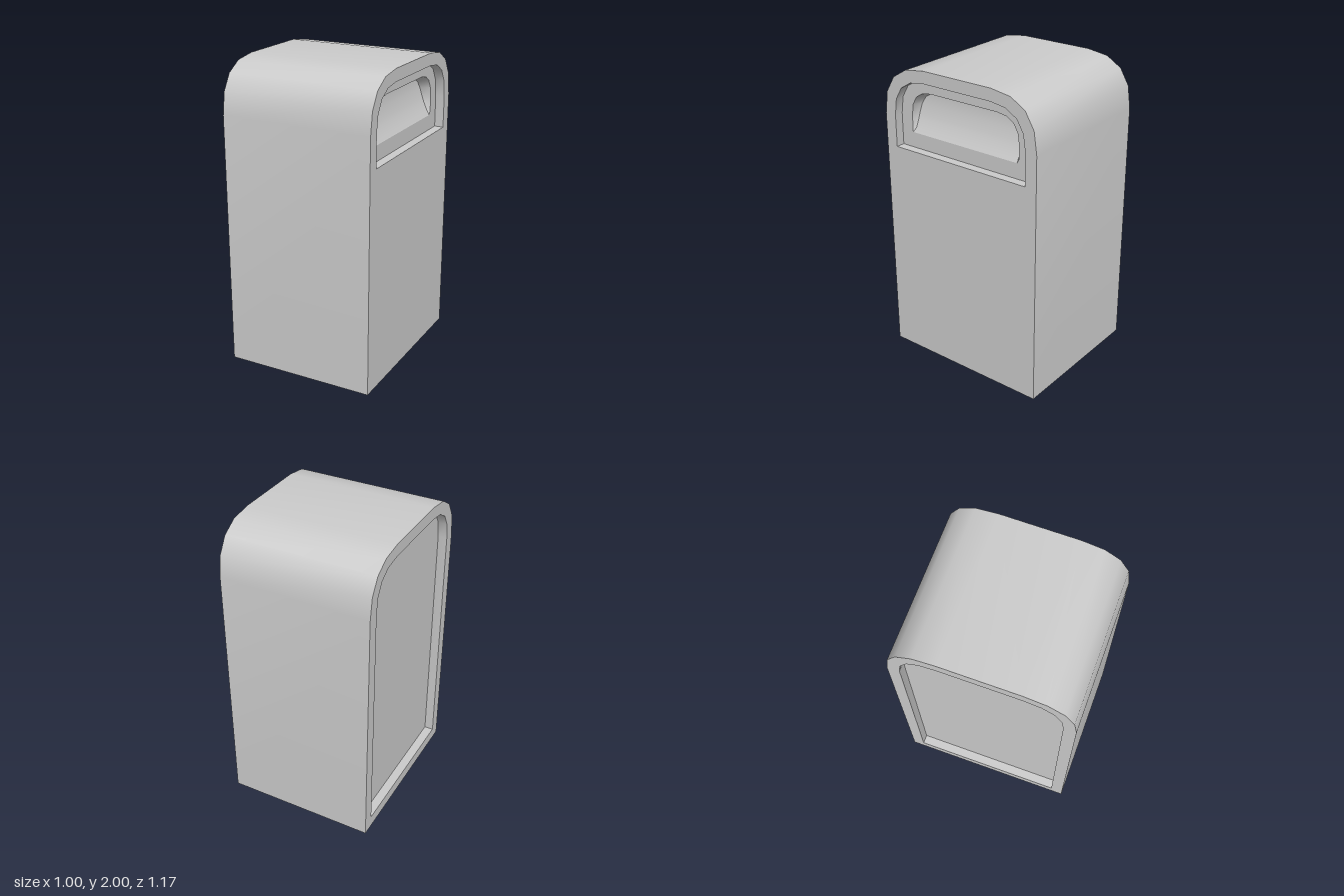
import * as THREE from 'three';
import { toCreasedNormals } from 'three/addons/utils/BufferGeometryUtils.js';

const material = new THREE.MeshStandardMaterial({ color: 0xcccccc });

// Arched outline in (z, y): straight sides, two rounded corners in four steps, flat top
function arch(halfWidth, bottom, top, sideSteps = 1) {
  const cornerZ = 0.255, cornerY = 1.67, half = [];
  for (let i = 0; i < sideSteps; i++)
    half.push(new THREE.Vector2(halfWidth, bottom + (cornerY - bottom) * i / sideSteps));
  for (let i = 0; i <= 4; i++) {
    const t = i / 4;
    half.push(new THREE.Vector2(
      cornerZ + (halfWidth - cornerZ) * (1 - t * t),
      cornerY + (top - cornerY) * (2 * t - t * t)));
  }
  return [...half, ...half.slice().reverse().map(p => new THREE.Vector2(-p.x, p.y))];
}

// Surface through rows of two points each
function strip(rows) {
  const pos = [];
  for (let i = 0; i < rows.length - 1; i++) {
    const [a, b] = rows[i], [d, c] = rows[i + 1];
    for (const p of [a, b, c, a, c, d]) pos.push(...p);
  }
  const geo = new THREE.BufferGeometry();
  geo.setAttribute('position', new THREE.Float32BufferAttribute(pos, 3));
  return toCreasedNormals(geo, 0.7);
}

// Wall running along an outline from x0 to x1
function wall(outline, x0, x1) {
  return strip([...outline, outline[0]].map(p => [[x0, p.y, p.x], [x1, p.y, p.x]]));
}

// Flat face at x, looking along +x (dir 1) or -x (dir -1)
function face(outline, x, dir, hole) {
  const shape = new THREE.Shape(outline);
  if (hole) shape.holes.push(new THREE.Path(hole));
  return new THREE.ShapeGeometry(shape).rotateY(dir * Math.PI / 2).translate(x, 0, 0);
}

export function createModel() {
  const group = new THREE.Group();
  const add = (name, geometry) => {
    const mesh = new THREE.Mesh(geometry, material);
    mesh.name = name;
    group.add(mesh);
  };

  const X = 0.5, floorX = 0.44;
  const body = arch(0.583, 0, 2);
  const windowOutline = arch(0.503, 1.46, 1.92);
  const backOutline = arch(0.503, 0.08, 1.92);
  const slot = arch(0.415, 1.56, 1.84, 4);
  const slotBack = arch(0.4, 1.56, 1.82, 4);

  // Outer shell and its two rimmed end faces
  add('bodyShell', wall(body, -X, X));
  add('leftFace', face(body, X, 1, windowOutline));
  add('rightRim', face(body, -X, -1, backOutline));

  // Shallow recess near the top of one end
  add('windowRecessWall', wall(windowOutline, X, floorX));
  add('windowRecessFloor', face(windowOutline, floorX, 1, slot));

  // Tall recess filling the other end
  add('panelRecessWall', wall(backOutline, -floorX, -X));
  add('panelRecessFloor', face(backOutline, -floorX, -1));

  // Scooped slot: flush at the bottom, deepest under its top edge
  const scoopX = y => floorX - 0.075 * (1 - (1 - (y - 1.56) / 0.26) ** 2);
  const deep = p => [scoopX(p.y), p.y, p.x];
  add('slotWall', strip(slot.map((p, i) => [[floorX, p.y, p.x], deep(slotBack[i])])));
  const last = slotBack.length - 1;
  add('slotScoop', strip(slotBack.slice(0, slotBack.length / 2)
    .map((p, i) => [deep(p), deep(slotBack[last - i])])));

  return group;
}
